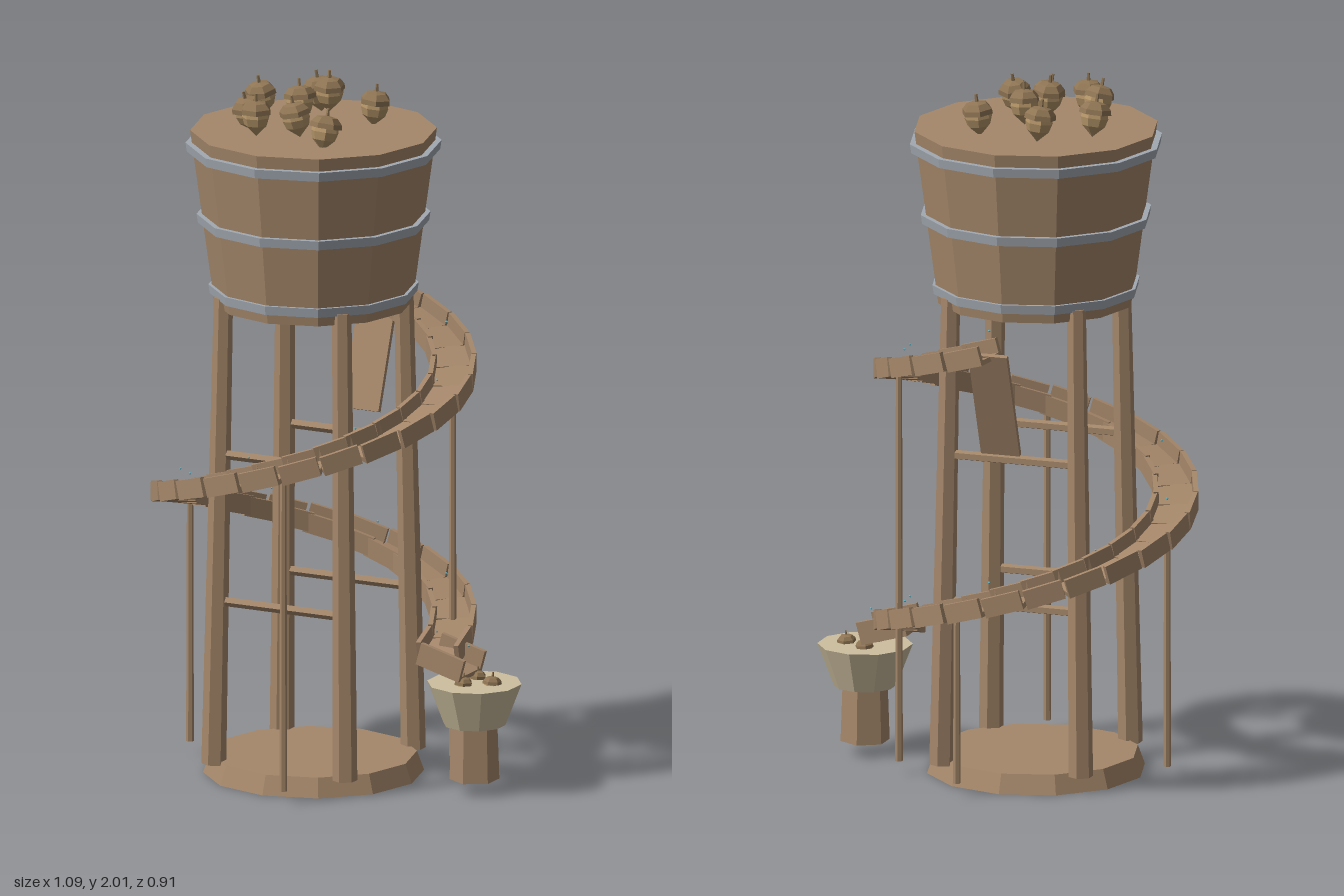
import * as THREE from 'three';

const CX = -0.09; // tower axis
const PATH_R = 0.39;
const DEG = Math.PI / 180;
const mat = (color) => new THREE.MeshStandardMaterial({ color, flatShading: true });
const wood = mat(0xa5876a);
const metal = mat(0xa3a9b2);
const pale = mat(0xcdbf9f);
const nutMat = mat(0xb39468);
const capMat = mat(0x8f7554);
const beadMat = mat(0x66bbcc);

function add(parent, name, geometry, material, x = 0, y = 0, z = 0) {
  const mesh = new THREE.Mesh(geometry, material);
  mesh.name = name;
  mesh.position.set(x, y, z);
  parent.add(mesh);
  return mesh;
}

// Tapered round bar between two points
function strut(parent, name, a, b, ra, rb, sides) {
  const from = new THREE.Vector3(...a), to = new THREE.Vector3(...b);
  const dir = to.clone().sub(from);
  const mesh = add(parent, name, new THREE.CylinderGeometry(rb, ra, dir.length(), sides), wood);
  mesh.position.copy(from).add(to).multiplyScalar(0.5);
  mesh.quaternion.setFromUnitVectors(new THREE.Vector3(0, 1, 0), dir.normalize());
}

// U-shaped trough running along x, centred on the origin
function trough(width, height, wall, length) {
  const w = width / 2, h = height / 2;
  const pts = [[-w, -h], [w, -h], [w, h], [w - wall, h], [w - wall, -h + wall],
    [-w + wall, -h + wall], [-w + wall, h], [-w, h]];
  const shape = new THREE.Shape(pts.map((p) => new THREE.Vector2(...p)));
  return new THREE.ExtrudeGeometry(shape, { depth: length, bevelEnabled: false })
    .translate(0, 0, -length / 2).rotateY(Math.PI / 2);
}

// Spiral path: starts at the back, turns towards +x and descends
const pathY = (deg) => 1.3 - (0.182 * deg) / 90;
const pathPoint = (deg, lift = 0) =>
  [CX + PATH_R * Math.sin(deg * DEG), pathY(deg) + lift, -PATH_R * Math.cos(deg * DEG)];

const lathe = (pts, n) => new THREE.LatheGeometry(pts.map((p) => new THREE.Vector2(...p)), n);
const nutGeo = lathe([[0, 0], [0.012, 0.012], [0.033, 0.032], [0.04, 0.055], [0.036, 0.078]], 7);
const capGeo = lathe([[0, 0.066], [0.046, 0.066], [0.044, 0.08], [0.03, 0.096], [0, 0.102]], 6);
const stemGeo = new THREE.CylinderGeometry(0.004, 0.006, 0.024, 5);

function acorn(parent, x, y, z, scale, tiltX, tiltZ, turn) {
  const g = new THREE.Group();
  g.name = 'acorn';
  add(g, 'acornNut', nutGeo, nutMat);
  add(g, 'acornCap', capGeo, capMat);
  add(g, 'acornStem', stemGeo, capMat, 0, 0.11, 0);
  g.position.set(x, y, z);
  g.rotation.set(tiltX, turn, tiltZ);
  g.scale.setScalar(scale);
  parent.add(g);
}

export function createModel() {
  const model = new THREE.Group();
  model.name = 'acornTower';

  // Base
  add(model, 'base', new THREE.CylinderGeometry(0.29, 0.31, 0.055, 12), wood, CX, 0.0275, 0);

  // Legs and cross bars
  for (const sz of [-1, 1]) {
    for (const sx of [-1, 1]) {
      strut(model, 'leg', [CX + sx * 0.207, 0.045, sz * 0.207], [CX + sx * 0.187, 1.39, sz * 0.187],
        0.035, 0.027, 6);
    }
    for (const y of [0.515, 0.94]) {
      strut(model, 'crossBar', [CX - 0.2, y, sz * 0.197], [CX + 0.2, y, sz * 0.197], 0.014, 0.014, 5);
    }
  }

  // Bucket with metal bands
  add(model, 'bucket', new THREE.CylinderGeometry(0.346, 0.278, 0.5, 12), wood, CX, 1.607, 0);
  for (const [y, r] of [[1.398, 0.293], [1.602, 0.326], [1.808, 0.357]]) {
    const ring = [[r - 0.02, -0.013], [r - 0.002, -0.013], [r + 0.002, 0.013], [r - 0.016, 0.013], [r - 0.02, -0.013]];
    add(model, 'bucketBand', lathe(ring, 12), metal, CX, y, 0);
  }

  // Spiral chute made of straight troughs
  const chute = new THREE.Group();
  chute.name = 'spiralChute';
  model.add(chute);
  const segment = trough(0.126, 0.055, 0.014, 0.111);
  for (let i = 0; i < 30; i++) {
    const deg = i * 15 + 7.5;
    const part = add(chute, 'chuteSegment', segment, wood, ...pathPoint(deg));
    part.rotation.set(0, -deg * DEG, -0.289);
  }

  // Spout into the bin
  add(model, 'spout', trough(0.14, 0.065, 0.014, 0.14), wood, 0.345, 0.38, 0).rotation.z = -0.27;

  // Chute posts
  for (const deg of [60, 165, 270, 375]) {
    const [x, y, z] = pathPoint(deg, -0.02);
    strut(model, 'chutePost', [x, 0.04, z], [x, y, z], 0.011, 0.009, 6);
  }

  // Small beads floating along the chute
  const bead = new THREE.OctahedronGeometry(0.004);
  for (let deg = 0; deg <= 450; deg += 45) add(model, 'bead', bead, beadMat, ...pathPoint(deg, 0.06));
  add(model, 'bead', bead, beadMat, 0.4, 0.42, 0);

  // Slanted board at the back
  add(model, 'backBoard', new THREE.BoxGeometry(0.115, 0.33, 0.014), wood, CX + 0.002, 1.135, -0.34)
    .rotation.x = -0.34;

  // Collecting bin on a stump
  add(model, 'binStump', new THREE.CylinderGeometry(0.064, 0.07, 0.17, 6), wood, 0.418, 0.123, 0);
  add(model, 'bin', new THREE.CylinderGeometry(0.134, 0.088, 0.12, 10), pale, 0.418, 0.257, 0);

  // Acorns: x, y, z, tilt about x, tilt about z
  const heap = [
    [-0.155, 1.86, -0.175, 0.1, 0.1], [-0.09, 1.885, -0.095, 0.2, -0.15], [0.03, 1.85, -0.13, -0.1, 0.1],
    [-0.28, 1.858, -0.065, 0.1, -0.1], [-0.115, 1.882, 0.025, 0.12, 0.2], [-0.225, 1.86, 0.105, 0.2, 0.15],
    [-0.19, 1.86, 0.155, -0.1, 0.1], [-0.075, 1.86, 0.11, 0.15, -0.2], [0.025, 1.845, 0.17, -0.15, 0.1],
  ];
  heap.forEach(([x, y, z, tx, tz], i) => acorn(model, x, y, z, 1, tx, tz, i * 1.3));
  for (const [x, z] of [[0.4, -0.042], [0.4, 0.042], [0.47, 0]]) acorn(model, x, 0.279, z, 0.6, 0, 0.1, x * 9);

  return model;
}
